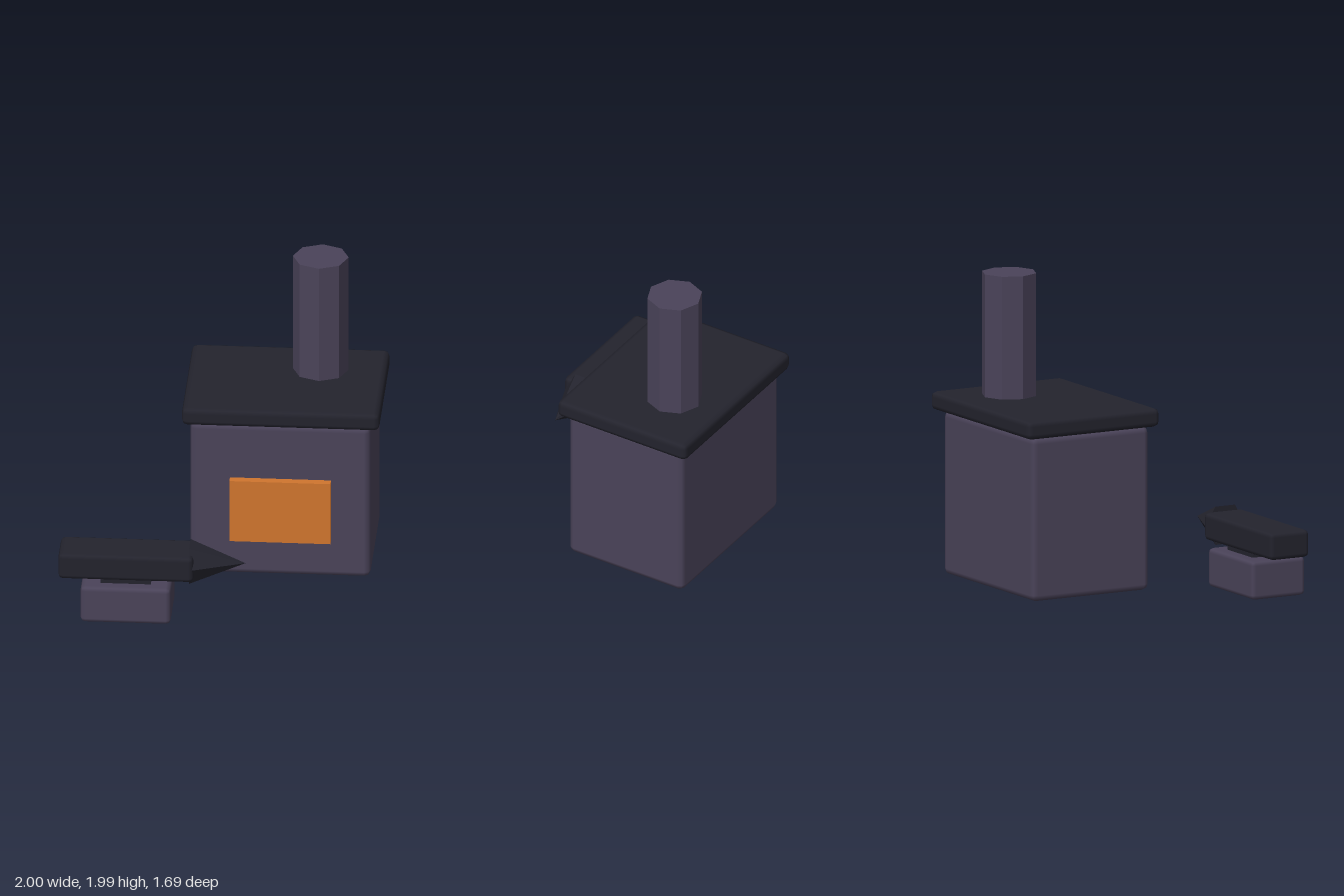
import * as THREE from 'three';
import { RoundedBoxGeometry } from 'three/addons/geometries/RoundedBoxGeometry.js';

const material = (name, color, flatShading = false) => {
  const m = new THREE.MeshStandardMaterial({ color, flatShading });
  m.name = name;
  return m;
};

export function createModel() {
  const stone = material('stone', 0x4a4359);
  const iron = material('iron', 0x23232d);
  const ember = material('ember', 0xd0752e);
  const model = new THREE.Group();
  model.name = 'forge';

  const add = (parent, name, geometry, mat, x, y, z) => {
    const mesh = new THREE.Mesh(geometry, mat);
    mesh.name = name;
    mesh.position.set(x, y, z);
    parent.add(mesh);
    return mesh;
  };
  // Box given by its extents; a bevel above zero softens its edges
  const block = (parent, name, mat, [x0, x1], [y0, y1], [z0, z1], bevel = 0) => {
    const size = [x1 - x0, y1 - y0, z1 - z0];
    const geometry = bevel
      ? new RoundedBoxGeometry(...size, 1, bevel)
      : new THREE.BoxGeometry(...size);
    return add(parent, name, geometry, mat, (x0 + x1) / 2, (y0 + y1) / 2, (z0 + z1) / 2);
  };
  // Faceted solids use unshared vertices so that each side stays flat
  const faceted = (geometry) => {
    const g = geometry.toNonIndexed();
    g.computeVertexNormals();
    return g;
  };

  // Furnace with its cover slab, fire opening and chimney
  const furnace = new THREE.Group();
  furnace.name = 'furnace';
  model.add(furnace);
  block(furnace, 'furnaceBody', stone, [-0.21, 0.94], [0, 1.06], [-0.79, 0.07], 0.04);
  block(furnace, 'coverSlab', iron, [-0.26, 1], [1.06, 1.18], [-0.85, 0.12], 0.035);
  block(furnace, 'fireOpening', ember, [0.045, 0.69], [0.26, 0.685], [0.04, 0.125]);
  add(furnace, 'chimney', faceted(new THREE.CylinderGeometry(0.178, 0.178, 0.795, 8)),
    stone, 0.583, 1.588, -0.507);

  // Anvil on its block, with the horn pointing to +x
  const anvil = new THREE.Group();
  anvil.name = 'anvil';
  model.add(anvil);
  block(anvil, 'anvilBase', stone, [-0.855, -0.28], [0, 0.252], [0.45, 0.843], 0.03);
  block(anvil, 'anvilWaist', iron, [-0.73, -0.41], [0.22, 0.31], [0.525, 0.77]);
  block(anvil, 'anvilTop', iron, [-1, -0.14], [0.275, 0.452], [0.502, 0.79], 0.03);
  const horn = add(anvil, 'anvilHorn', faceted(new THREE.ConeGeometry(0.143, 0.355, 6)),
    iron, 0.008, 0.363, 0.646);
  horn.rotation.z = -Math.PI / 2;

  return model;
}
